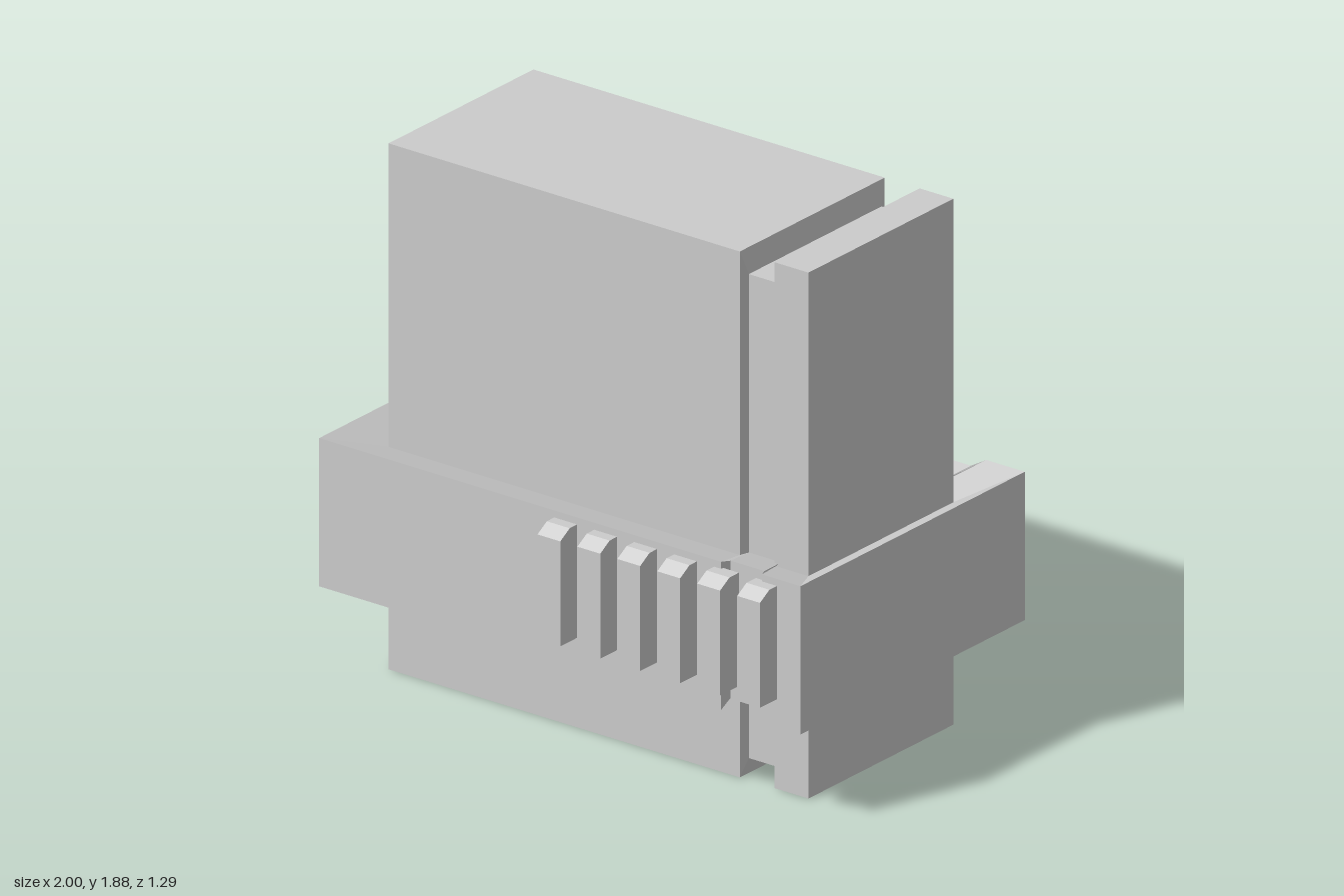
import * as THREE from 'three';

const material = new THREE.MeshStandardMaterial({ color: 0xcccccc, flatShading: true });

function addMesh(group, name, geometry) {
  const mesh = new THREE.Mesh(geometry, material);
  mesh.name = name;
  group.add(mesh);
  return mesh;
}

// Box from its minimum and maximum corners
function boxBetween([x0, y0, z0], [x1, y1, z1]) {
  return new THREE.BoxGeometry(x1 - x0, y1 - y0, z1 - z0)
    .translate((x0 + x1) / 2, (y0 + y1) / 2, (z0 + z1) / 2);
}

// Belt: notched outline whose top and bottom faces slope inward to the body
function beltGeometry() {
  // outer x, outer z, inner x, inner z, top y, bottom y
  const loop = [
    [-1, 0.555, -0.875, 0.345, 0.865, 0.335],
    [0.67, 0.555, 0.585, 0.345, 0.865, 0.335],
    [0.675, 0.51, 0.595, 0.31, 0.855, 0.365],
    [0.815, 0.51, 0.73, 0.31, 0.855, 0.365],
    [0.84, 0.555, 0.735, 0.345, 0.865, 0.335],
    [1, 0.555, 0.87, 0.345, 0.865, 0.335],
    [1, -0.645, 0.87, -0.43, 0.865, 0.335],
    [0.84, -0.645, 0.735, -0.43, 0.865, 0.335],
    [0.815, -0.595, 0.73, -0.4, 0.855, 0.365],
    [0.675, -0.595, 0.595, -0.4, 0.855, 0.365],
    [0.67, -0.645, 0.585, -0.43, 0.865, 0.335],
    [-1, -0.645, -0.875, -0.43, 0.865, 0.335],
  ];
  const innerTop = 0.795, innerBottom = 0.46;
  const positions = [];
  const quad = (a, b, c, d) => positions.push(...a, ...b, ...c, ...a, ...c, ...d);
  const rings = loop.map(([x, z, ix, iz, top, bottom]) => ({
    top: [x, top, z], bottom: [x, bottom, z],
    inTop: [ix, innerTop, iz], inBottom: [ix, innerBottom, iz],
  }));
  rings.forEach((a, i) => {
    const b = rings[(i + 1) % rings.length];
    quad(a.bottom, b.bottom, b.top, a.top);
    quad(a.top, b.top, b.inTop, a.inTop);
    quad(a.inBottom, b.inBottom, b.bottom, a.bottom);
  });
  const geometry = new THREE.BufferGeometry();
  geometry.setAttribute('position', new THREE.Float32BufferAttribute(positions, 3));
  geometry.computeVertexNormals();
  return geometry;
}

// Thin slanted step from the main block down to the recessed strip
function stepGeometry() {
  const geometry = boxBetween([0.585, 0, -0.43], [0.595, 1.88, 0.345]);
  const p = geometry.attributes.position;
  for (let i = 0; i < p.count; i++) {
    if (p.getX(i) < 0.59) continue;
    p.setY(i, p.getY(i) > 1 ? 1.79 : 0.06);
    p.setZ(i, p.getZ(i) > 0 ? 0.31 : -0.4);
  }
  geometry.computeVertexNormals();
  return geometry;
}

// Grip rib: side profile with a chamfered top front edge
function ribGeometry(width) {
  const shape = new THREE.Shape([
    [0.545, 0.435], [0.645, 0.435], [0.645, 0.81], [0.595, 0.84], [0.545, 0.84],
  ].map(([z, y]) => new THREE.Vector2(-z, y)));
  return new THREE.ExtrudeGeometry(shape, { depth: width, bevelEnabled: false })
    .rotateY(Math.PI / 2);
}

export function createModel() {
  const model = new THREE.Group();
  model.name = 'beltedBlock';

  // Upright block, split by a recessed strip
  addMesh(model, 'mainBlock', boxBetween([-0.875, 0, -0.43], [0.585, 1.88, 0.345]));
  addMesh(model, 'slantedStep', stepGeometry());
  addMesh(model, 'recessedStrip', boxBetween([0.59, 0.06, -0.4], [0.735, 1.79, 0.31]));
  addMesh(model, 'endSlab', boxBetween([0.73, 0, -0.43], [0.87, 1.88, 0.345]));

  // Belt around the block
  addMesh(model, 'belt', beltGeometry());

  // Row of ribs on the belt's front
  const ribs = new THREE.Group();
  ribs.name = 'gripRibs';
  const rib = ribGeometry(0.095);
  for (let i = 0; i < 6; i++) {
    addMesh(ribs, 'gripRib', rib).position.x = -0.023 + i * 0.166;
  }
  model.add(ribs);
  return model;
}
